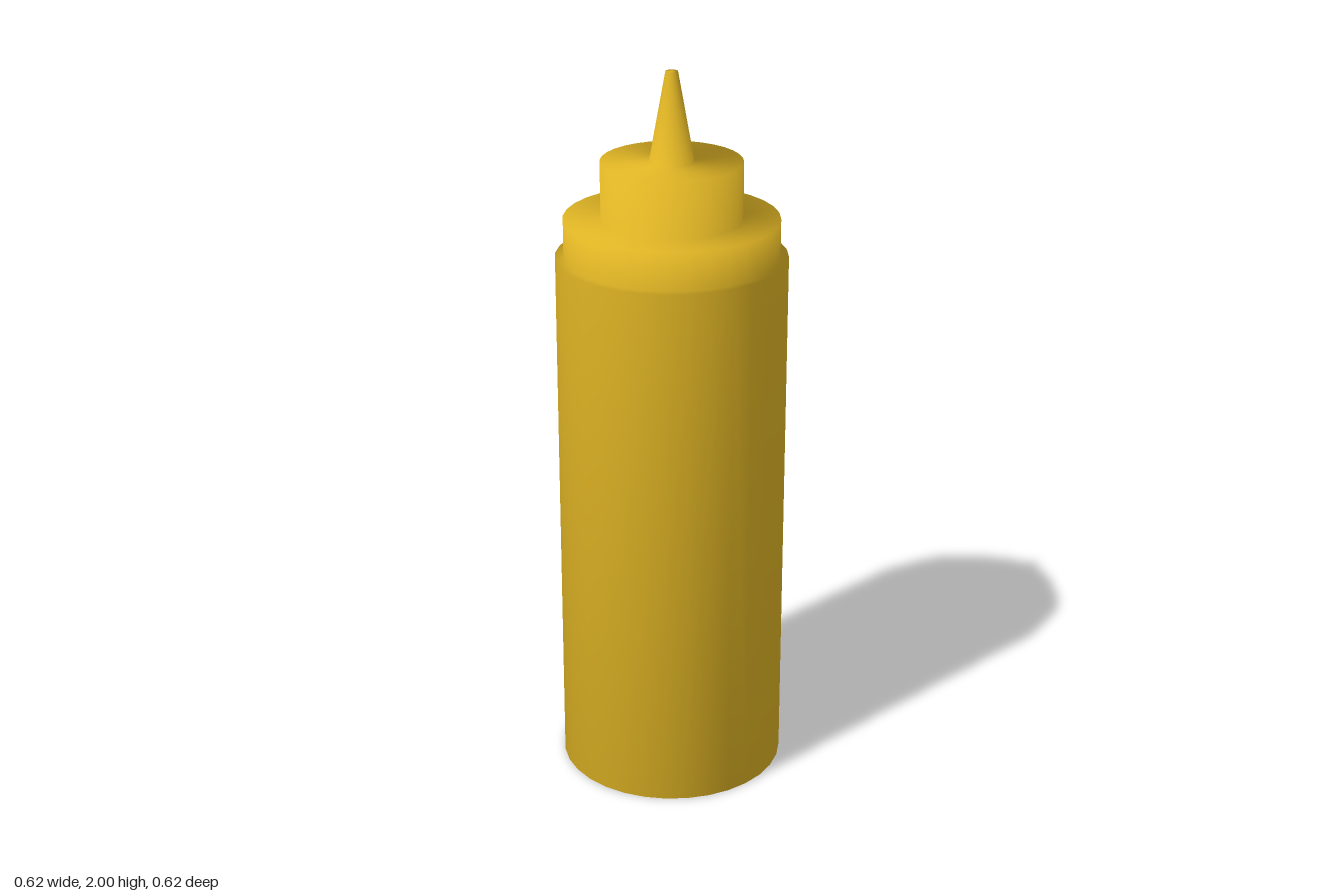
import * as THREE from 'three';

const SIDES = 32;

// Bottle outline from the base centre up to the tip: [radius, height]
const PROFILE = [
  [0, 0], [0.3125, 0], [0.3125, 1.5],
  [0.29, 1.5], [0.29, 1.605],
  [0.19, 1.605], [0.19, 1.76],
  [0.06, 1.76], [0.0165, 2], [0, 2],
];

// Part name with the first and last outline segment it covers
const PARTS = [
  ['bottleBody', 0, 2],
  ['threadedCollar', 3, 4],
  ['cap', 5, 6],
  ['nozzle', 7, 8],
];

export function createModel() {
  const group = new THREE.Group();
  group.name = 'squeezeBottle';

  const mustard = new THREE.MeshStandardMaterial({ color: 0xdfb424 });
  mustard.name = 'mustardYellow';

  // One smooth lathe, split into parts so shading flows across the steps
  const lathe = new THREE.LatheGeometry(PROFILE.map(([r, y]) => new THREE.Vector2(r, y)), SIDES);
  const index = Array.from(lathe.index.array);
  const segments = PROFILE.length - 1;

  for (const [name, first, last] of PARTS) {
    const geometry = lathe.clone();
    geometry.setIndex(index.filter((_, i) => {
      const segment = Math.floor(i / 6) % segments;
      return segment >= first && segment <= last;
    }));
    const mesh = new THREE.Mesh(geometry, mustard);
    mesh.name = name;
    group.add(mesh);
  }
  return group;
}
